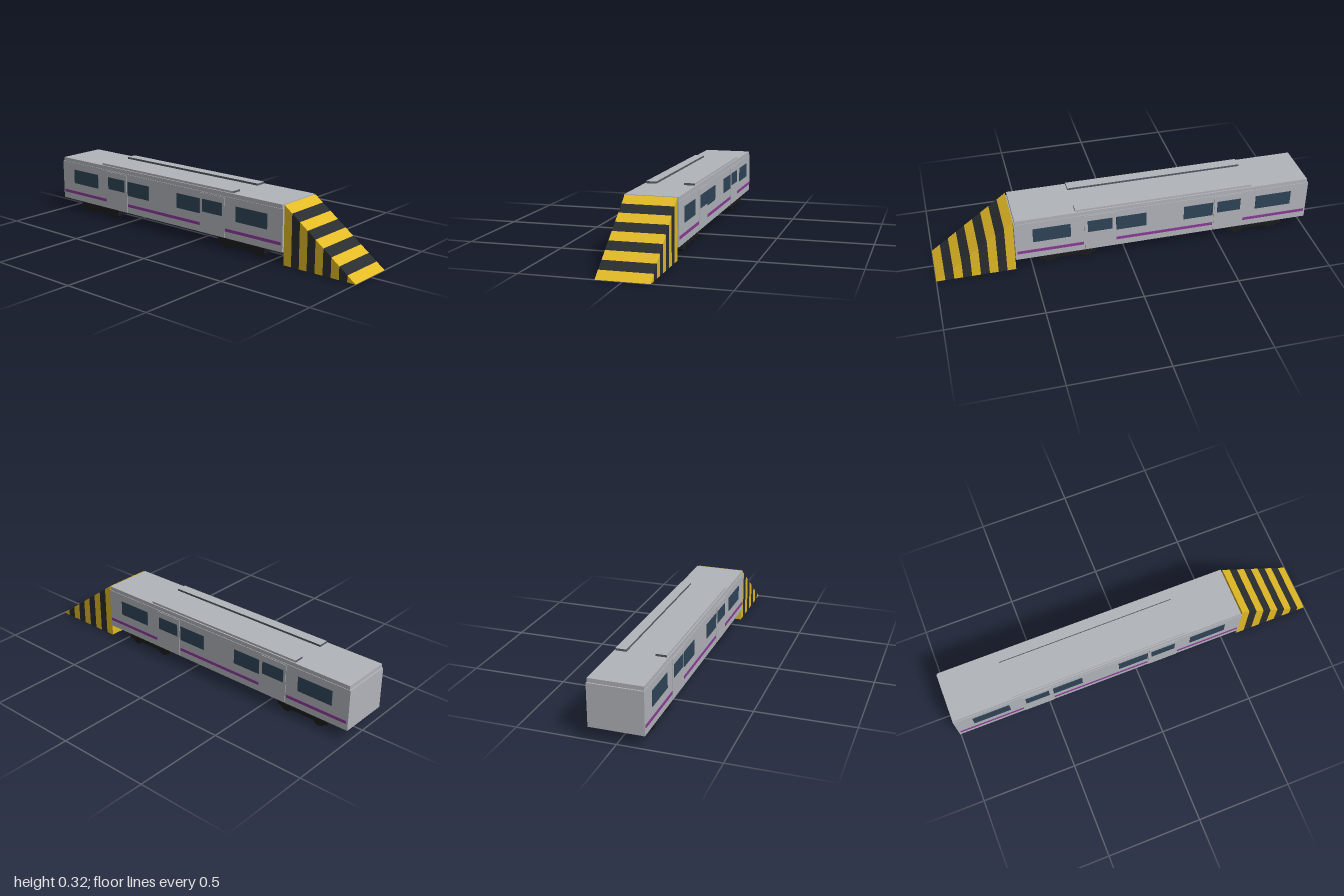
import * as THREE from 'three';

const mat = (name, color) => {
  const m = new THREE.MeshStandardMaterial({ color });
  m.name = name;
  return m;
};

export function createModel() {
  const silver = mat('silver', 0xb2b5bb);
  const slate = mat('slate', 0x565e66);
  const charcoal = mat('charcoal', 0x2a2d30);
  const black = mat('black', 0x1c1c1c);
  const yellow = mat('yellow', 0xe2ba26);
  const glass = mat('glass', 0x2f4558);
  const purple = mat('purple', 0x8c3c98);

  const model = new THREE.Group();
  model.name = 'railCar';

  const add = (name, geometry, material, parent = model) => {
    const mesh = new THREE.Mesh(geometry, material);
    mesh.name = name;
    parent.add(mesh);
    return mesh;
  };
  // Box given by its limits on each axis
  const box = (name, material, [x0, x1], [y0, y1], [z0, z1], parent) => {
    const mesh = add(name, new THREE.BoxGeometry(x1 - x0, y1 - y0, z1 - z0), material, parent);
    mesh.position.set((x0 + x1) / 2, (y0 + y1) / 2, (z0 + z1) / 2);
    return mesh;
  };

  // Body shell with a dark underside, and the roof slab set in a little
  box('body', [silver, silver, silver, charcoal, silver, silver],
    [-0.138, 0.138], [0.066, 0.286], [-1, 0.585]);
  box('roof', silver, [-0.135, 0.135], [0.286, 0.307], [-0.993, 0.58]);

  // Striped wedge: nine slices along z
  const zBack = 0.588, height = 0.306, count = 9;
  const step = (1 - zBack) / count;
  const slope = (z) => height * (1 - z) / (1 - zBack);
  const wedge = new THREE.Group();
  wedge.name = 'wedge';
  model.add(wedge);
  for (let i = 0; i < count; i++) {
    const z0 = zBack + i * step, z1 = z0 + step;
    const points = [[z0, 0], [z1, 0], [z1, slope(z1)], [z0, slope(z0)]];
    if (i === count - 1) points.splice(2, 1);
    const shape = new THREE.Shape(points.map(([z, y]) => new THREE.Vector2(z, y)));
    const geometry = new THREE.ExtrudeGeometry(shape, { depth: 0.26, bevelEnabled: false });
    geometry.rotateY(-Math.PI / 2).translate(0.13, 0, 0);
    add('wedgeStripe', geometry, i % 2 ? charcoal : yellow, wedge);
  }

  // Side details, the same on both sides
  const windows = [[0.295, 0.492], [-0.107, 0.055], [-0.47, -0.31], [-0.905, -0.707]];
  const stripes = [[0.228, 0.577], [-0.47, 0.055], [-0.99, -0.642]];
  const doors = [[0.062, 0.222], [-0.635, -0.477]];
  for (const side of [-1, 1]) {
    const group = new THREE.Group();
    group.name = side > 0 ? 'leftSide' : 'rightSide';
    model.add(group);
    const plate = (name, material, inner, outer, y, z) =>
      box(name, material, side > 0 ? [inner, outer] : [-outer, -inner], y, z, group);

    for (const z of windows) plate('window', glass, 0.137, 0.1405, [0.166, 0.246], z);
    for (const z of stripes) plate('stripe', purple, 0.137, 0.1405, [0.102, 0.118], z);
    for (const [z0, z1] of doors) {
      plate('door', silver, 0.136, 0.141, [0.07, 0.28], [z0, z1]);
      plate('doorWindow', glass, 0.14, 0.1435, [0.18, 0.248], [z0 + 0.014, z1 - 0.016]);
    }

    // Roof rail with dark inner side and ends
    const sides = side > 0
      ? [silver, slate, silver, slate, slate, slate]
      : [slate, silver, silver, slate, slate, slate];
    plate('roofRail', sides, 0.073, 0.128, [0.306, 0.318], [-0.68, 0.267]);
  }

  // Bogies with four wheels each
  for (const z of [0.308, -0.724]) {
    const bogie = new THREE.Group();
    bogie.name = 'bogie';
    bogie.position.z = z;
    model.add(bogie);
    box('bogieFrame', black, [-0.115, 0.115], [0.025, 0.067], [-0.151, 0.151], bogie);
    for (const x of [-0.1, 0.1]) {
      for (const dz of [-0.098, 0.098]) {
        const geometry = new THREE.CylinderGeometry(0.04, 0.04, 0.026, 16).rotateZ(Math.PI / 2);
        add('wheel', geometry, black, bogie).position.set(x, 0.045, dz);
      }
    }
  }

  return model;
}
